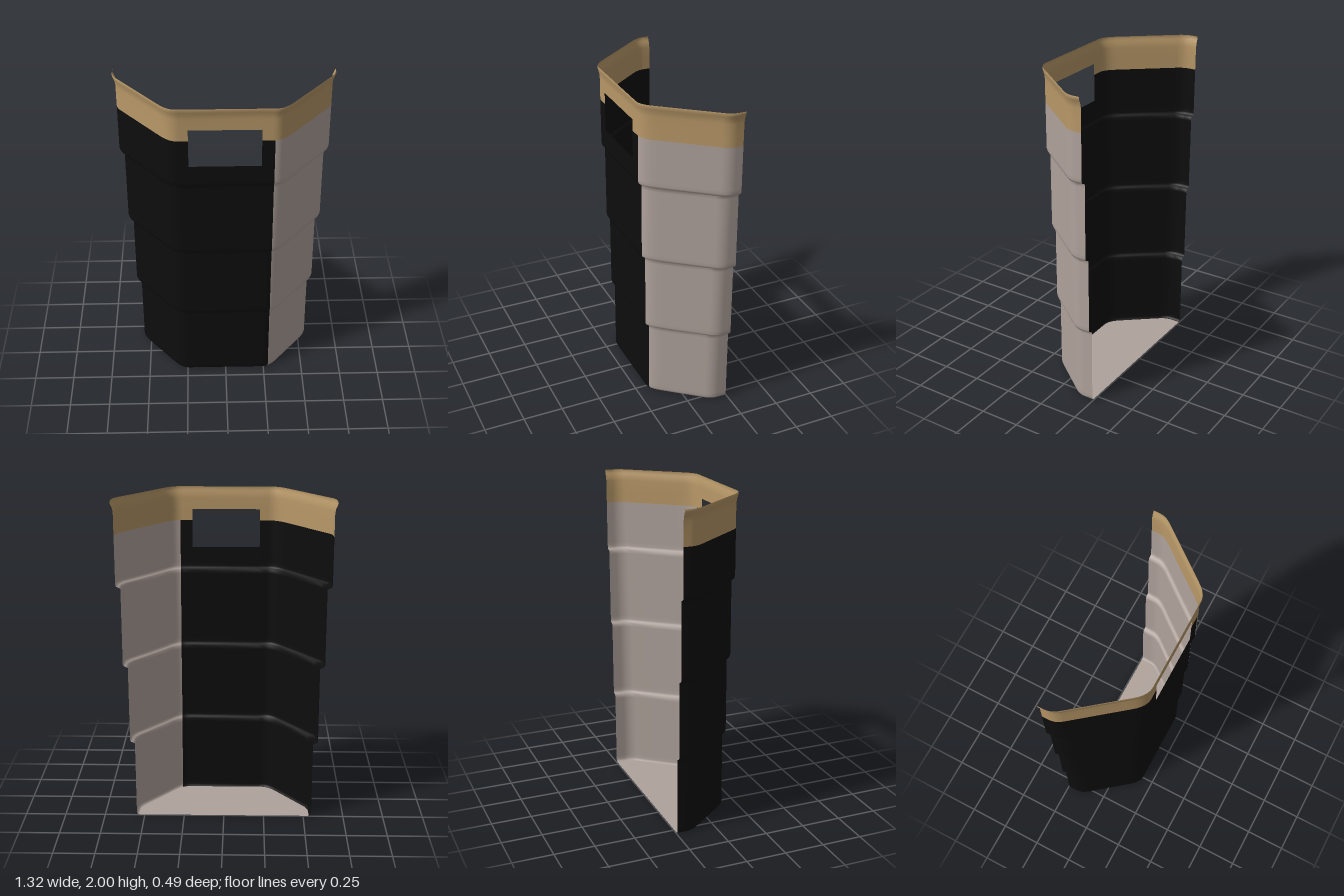
import * as THREE from 'three';

const BACK = -0.245;
const SEAM = 0.28; // x where the dark panel meets the light panel
const WINDOW = { x0: -0.215, x1: 0.205, y0: 1.62, y1: 1.86 };
const RIM_Y = 1.79;

// Depth of the front and slanted wall at x, with a blended corner; o is the outward offset
function wallZ(x, o) {
  const front = 0.178 + 0.6 * o;
  const slant = (0.337 + 0.67 * o - 0.78 * Math.abs(x)) / 0.625;
  const k = 0.06;
  const h = Math.max(k - Math.abs(front - slant), 0) / k;
  return Math.min(front, slant) - h * h * k / 4;
}

// Right-hand side of the plan, from the open back to the seam: [x, z] points
function sidePoints(o) {
  const side = 0.55 + o;
  const corner = wallZ(side, o);
  const startX = side - 0.03;
  const pts = [[side, BACK]];
  const curve = new THREE.QuadraticBezierCurve(
    new THREE.Vector2(side, corner - 0.04),
    new THREE.Vector2(side, corner),
    new THREE.Vector2(startX, wallZ(startX, o)));
  curve.getPoints(5).forEach(p => pts.push([p.x, p.y]));
  for (const f of [0.65, 0.4, 0.3, 0.24, 0.18, 0.12, 0.06, 0]) {
    const x = SEAM + (startX - SEAM) * f;
    pts.push([x, wallZ(x, o)]);
  }
  return pts;
}

// Whole plan from one back edge round the front to the other
function section(o) {
  const side = sidePoints(o);
  const frontX = [-0.265, -0.25, -0.235, WINDOW.x0, 0, WINDOW.x1, 0.235, 0.25, 0.265];
  return [
    ...side.map(([x, z]) => [-x, z]),
    ...frontX.map(x => [x, wallZ(x, o)]),
    ...side.slice().reverse(),
  ];
}

// Vertical profile [offset, y]: four stepped tiers and a flared rim
function profile() {
  const rows = [];
  for (let i = 0; i < 4; i++) {
    const o = 0.03 * i, y = 0.495 * i;
    rows.push([o - 0.015, y], [o - 0.005, y + 0.004], [o, y + 0.016], [o, y + 0.04]);
    if (i < 3) rows.push([o, y + 0.465], [o, y + 0.487]);
  }
  const o = 0.09;
  rows.push([o, WINDOW.y0], [o, RIM_Y], [o, WINDOW.y1], [o, 1.93], [o + 0.004, 1.955],
    [o + 0.012, 1.975], [o + 0.018, 1.99], [o + 0.015, 2]);
  return rows;
}

export function createModel() {
  const mat = (name, color) => {
    const m = new THREE.MeshStandardMaterial({ color, side: THREE.DoubleSide });
    m.name = name;
    return m;
  };
  const parts = {
    darkPanel: { material: mat('black', 0x0d0d0d), index: [] },
    lightPanel: { material: mat('warm grey', 0xafa29b), index: [] },
    rim: { material: mat('tan', 0xb89868), index: [] },
  };

  // Shell grid
  const rows = profile();
  const grid = rows.map(([o, y]) => section(o).map(([x, z]) => [x, y, z]));
  const cols = grid[0].length;
  const all = [];
  for (let r = 0; r < rows.length - 1; r++) {
    const y = (rows[r][1] + rows[r + 1][1]) / 2;
    for (let c = 0; c < cols - 1; c++) {
      const a = r * cols + c, b = a + 1, d = a + cols, e = d + 1;
      const quad = [a, b, e, a, e, d];
      all.push(...quad);
      const x = (grid[r][c][0] + grid[r][c + 1][0]) / 2;
      const inWindow = x > WINDOW.x0 && x < WINDOW.x1 && y > WINDOW.y0 && y < WINDOW.y1;
      if (inWindow) continue;
      const part = y > RIM_Y ? parts.rim : x > SEAM ? parts.lightPanel : parts.darkPanel;
      part.index.push(...quad);
    }
  }
  const shell = new THREE.BufferGeometry();
  shell.setAttribute('position', new THREE.Float32BufferAttribute(grid.flat(2), 3));
  shell.setIndex(all);
  shell.computeVertexNormals();

  // Panels share the shell's points and normals, so the seams stay smooth
  const group = new THREE.Group();
  group.name = 'steppedHalfBin';
  for (const [name, { material, index }] of Object.entries(parts)) {
    const geo = new THREE.BufferGeometry();
    geo.setAttribute('position', shell.getAttribute('position'));
    geo.setAttribute('normal', shell.getAttribute('normal'));
    geo.setIndex(index);
    const mesh = new THREE.Mesh(geo, material);
    mesh.name = name;
    group.add(mesh);
  }

  // Floor
  const outline = section(rows[0][0]).map(([x, z]) => new THREE.Vector2(x, -z));
  const floor = new THREE.Mesh(
    new THREE.ShapeGeometry(new THREE.Shape(outline)).rotateX(-Math.PI / 2),
    parts.lightPanel.material);
  floor.name = 'floor';
  group.add(floor);
  return group;
}
